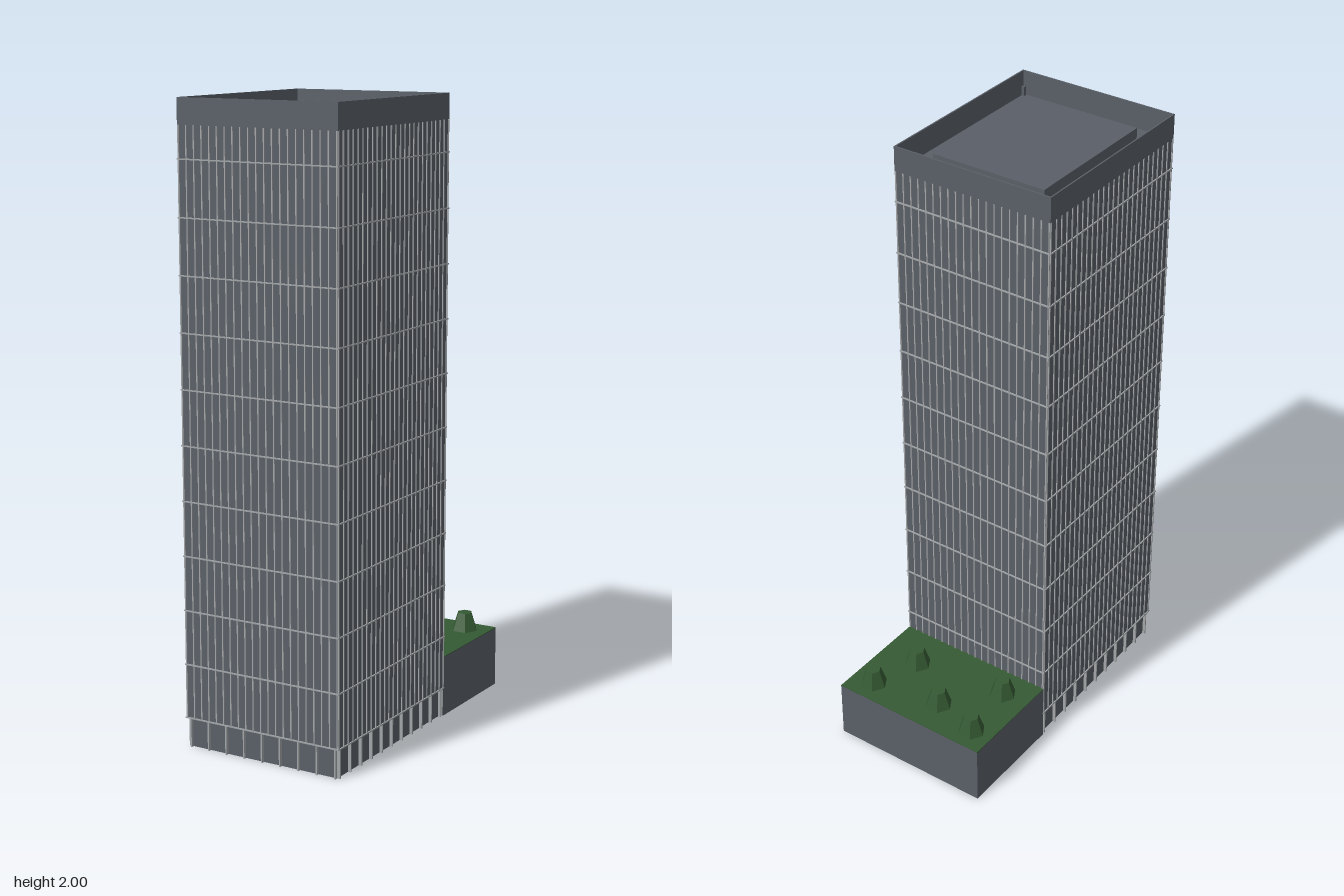
import * as THREE from 'three';

const material = (name, color) => Object.assign(new THREE.MeshStandardMaterial({ color }), { name });

export function createModel() {
  const slate = material('slate grey', 0x5a6068);
  const metal = material('light metal', 0xa3a6a8);
  const concrete = material('concrete', 0x8c8c8c);
  const green = material('planting green', 0x355a33);

  const model = new THREE.Group();
  model.name = 'towerBlock';

  // Box given by its minimum and maximum corners
  function box(parent, name, mat, [x0, y0, z0], [x1, y1, z1]) {
    const mesh = new THREE.Mesh(new THREE.BoxGeometry(x1 - x0, y1 - y0, z1 - z0), mat);
    mesh.position.set((x0 + x1) / 2, (y0 + y1) / 2, (z0 + z1) / 2);
    mesh.name = name;
    parent.add(mesh);
    return mesh;
  }

  // Four thin walls around a rectangle, open above and below
  function ring(parent, name, mat, hx, hz, y0, y1, t) {
    for (const s of [-1, 1]) {
      const x = s * (hx - t / 2), z = s * (hz - t / 2);
      box(parent, name, mat, [x - t / 2, y0, -hz], [x + t / 2, y1, hz]);
      box(parent, name, mat, [-hx + t, y0, z - t / 2], [hx - t, y1, z + t / 2]);
    }
  }

  // Evenly spaced vertical fins on all four sides
  function fins(parent, name, hx, hz, y0, y1, nx, nz, width, depth) {
    const w = width / 2;
    for (const s of [-1, 1]) {
      for (let i = 0; i <= nx; i++) {
        const x = -hx + w + (2 * (hx - w) * i) / nx, z = s * (hz + depth / 2);
        box(parent, name, metal, [x - w, y0, z - depth / 2], [x + w, y1, z + depth / 2]);
      }
      for (let i = 0; i <= nz; i++) {
        const z = -hz + w + (2 * (hz - w) * i) / nz, x = s * (hx + depth / 2);
        box(parent, name, metal, [x - depth / 2, y0, z - w], [x + depth / 2, y1, z + w]);
      }
    }
  }

  // Tower, centred on its own plan
  const HX = 0.274, HZ = 0.326, BASE = 0.095, ROOF = 1.92;
  const tower = new THREE.Group();
  tower.name = 'tower';
  tower.position.z = 0.183;
  model.add(tower);

  box(tower, 'facade', slate, [-HX, BASE, -HZ], [HX, ROOF, HZ]);
  fins(tower, 'mullion', HX, HZ, BASE, ROOF, 20, 24, 0.004, 0.003);
  for (let i = 0; i < 11; i++) {
    const y = BASE + i * 0.1725;
    ring(tower, 'floorBand', metal, HX + 0.004, HZ + 0.004, y - 0.002, y + 0.002, 0.006);
  }

  // Recessed ground floor, hollow underneath
  ring(tower, 'lobbyWall', slate, HX - 0.01, HZ - 0.01, 0, BASE, 0.003);
  fins(tower, 'lobbyFin', HX - 0.01, HZ - 0.01, 0, BASE, 8, 10, 0.005, 0.01);
  box(tower, 'lobbyCeiling', concrete, [-0.26, BASE - 0.008, -0.312], [0.26, BASE - 0.001, 0.312]);

  // Parapet, raised roof deck and corner posts
  ring(tower, 'parapet', slate, HX + 0.002, HZ + 0.002, ROOF, 2, 0.005);
  box(tower, 'roofDeck', slate, [-0.197, ROOF, -0.245], [0.197, 1.965, 0.245]);
  for (const sx of [-1, 1]) for (const sz of [-1, 1]) {
    const x = sx * 0.266, z = sz * 0.317;
    box(tower, 'cornerPost', slate, [x - 0.005, ROOF, z - 0.005], [x + 0.005, 1.95, z + 0.005]);
  }

  // Rear annex: three walls, open below, with a planted roof
  const annex = new THREE.Group();
  annex.name = 'annex';
  model.add(annex);
  for (const s of [-1, 1]) {
    const x = s * 0.2735;
    box(annex, 'annexSideWall', slate, [x - 0.0015, 0, -0.512], [x + 0.0015, 0.198, -0.143]);
  }
  box(annex, 'annexBackWall', slate, [-0.272, 0, -0.512], [0.272, 0.198, -0.509]);
  box(annex, 'gardenRoof', green, [-0.275, 0.196, -0.512], [0.275, 0.2, -0.143]);

  // Six-sided tapered shrubs
  const shrubGeometry = new THREE.CylinderGeometry(0.025, 0.045, 0.06, 6).toNonIndexed();
  shrubGeometry.rotateY(Math.PI / 6);
  shrubGeometry.computeVertexNormals();
  for (const [x, z] of [[-0.2, -0.44], [-0.04, -0.4], [0.195, -0.44], [0.137, -0.28], [-0.18, -0.24]]) {
    const shrub = new THREE.Mesh(shrubGeometry, green);
    shrub.name = 'shrub';
    shrub.position.set(x, 0.23, z);
    annex.add(shrub);
  }
  return model;
}
